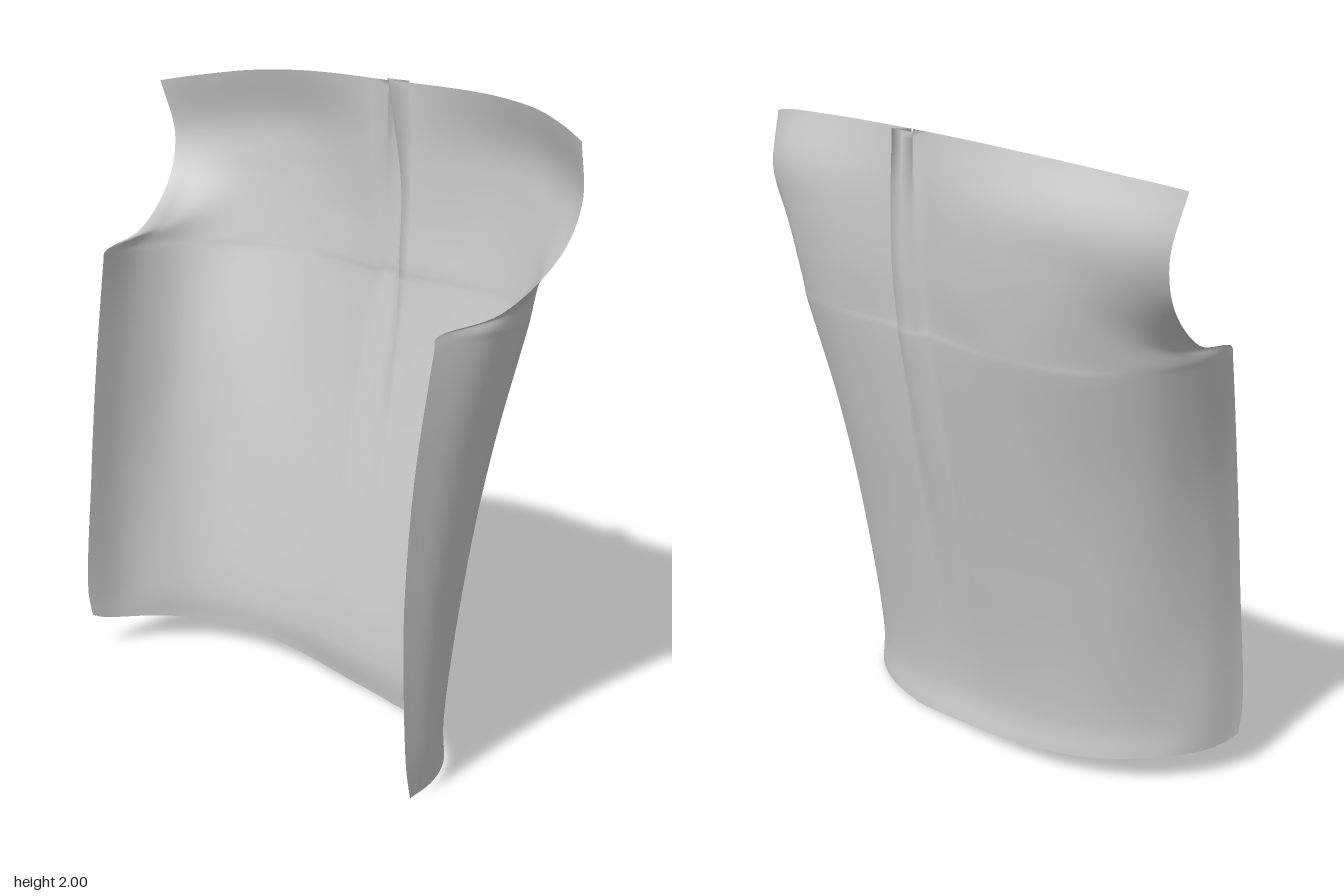
import * as THREE from 'three';

// Lower half-sections, spine to side edge: height, then [x, z] pairs
const LOWER = [
  [0, [0, -.125], [.25, -.12], [.45, -.08], [.6, 0], [.7, .105], [.76, .22], [.79, .345]],
  [.12, [0, -.11], [.25, -.11], [.45, -.075], [.6, .005], [.7, .11], [.765, .22], [.79, .36]],
  [.6, [0, -.175], [.25, -.18], [.45, -.145], [.62, -.06], [.72, .06], [.77, .2], [.775, .345]],
  [1, [0, -.245], [.25, -.26], [.45, -.235], [.63, -.15], [.75, -.02], [.785, .14], [.775, .31]],
  [1.37, [0, -.3], [.25, -.325], [.45, -.322], [.66, -.25], [.795, -.11], [.83, .06], [.79, .255]],
  [1.4, [0, -.3], [.25, -.327], [.45, -.327], [.66, -.255], [.8, -.115], [.835, .055], [.79, .25]],
];
// Upper half-sections ending on the armhole: [x, y, z] points
const UPPER = [
  [[0, 1.55, -.31], [.25, 1.55, -.345], [.45, 1.55, -.347], [.66, 1.53, -.285], [.78, 1.5, -.18], [.835, 1.47, -.07], [.85, 1.45, .05]],
  [[0, 1.7, -.315], [.25, 1.7, -.35], [.45, 1.7, -.36], [.66, 1.67, -.31], [.78, 1.645, -.245], [.86, 1.62, -.18], [.91, 1.6, -.12]],
  [[0, 1.83, -.315], [.25, 1.83, -.345], [.45, 1.83, -.357], [.66, 1.81, -.32], [.79, 1.785, -.265], [.88, 1.765, -.215], [.94, 1.75, -.17]],
  [[0, 2, -.31], [.25, 2, -.315], [.45, 1.995, -.31], [.66, 1.98, -.27], [.8, 1.96, -.215], [.89, 1.945, -.17], [.965, 1.93, -.13]],
];

const vec = (p) => new THREE.Vector3(...p);

// Full cross-section curves, mirrored across the spine
const sections = [
  ...LOWER.map(([y, ...pts]) => pts.map(([x, z]) => [x, y, z])),
  ...UPPER,
].map((half) => {
  const mirrored = half.slice(1).reverse().map(([x, y, z]) => [-x, y, z]);
  return new THREE.CatmullRomCurve3([...mirrored, ...half].map(vec));
});

// Uneven hem: higher on the right, fading out upwards
function shapeHem(p, s) {
  const fade = Math.max(0, 1 - p.y / 0.6);
  const lift = p.x < 0.25
    ? 0.09 * Math.pow(0.25 - p.x, 1.2) + (s < 0 ? 0.03 * Math.pow(-s, 14) : 0)
    : 0.035 * (p.x - 0.25);
  p.y += lift * fade;
  if (s > 0) p.z -= 0.02 * Math.pow(s, 8) * fade;
}

// Box pleat at the spine: k = 0 middle, 1 rear fold, 2 front lip
function shapePleat(p, k, side) {
  const depth = 0.038 * THREE.MathUtils.smoothstep(p.y, 0.4, 1.65);
  const open = 1 - THREE.MathUtils.smoothstep(p.y, 1.6, 2);
  const soft = 1 - THREE.MathUtils.smoothstep(p.y, 0.9, 1.6);
  const lip = 0.004 + 0.046 * open + 0.025 * soft;
  p.x = side * [0, 0.05 - 0.02 * soft, lip][k] + 0.008 * open;
  if (k < 2) p.z -= depth;
}

function panelGeometry() {
  // Columns from right edge to left edge, with the pleat folds in the middle
  const half = [{ k: 1, s: 0 }, { k: 2, s: 0 }];
  for (let i = 0; i <= 36; i++) half.push({ k: -1, s: 0.06 + 0.94 * i / 36 });
  const columns = [
    ...half.slice().reverse().map((c) => ({ ...c, s: -c.s, side: -1 })),
    { k: 0, s: 0, side: 1 },
    ...half.map((c) => ({ ...c, side: 1 })),
  ];
  const rows = 72, positions = [], index = [];
  for (const { k, s, side } of columns) {
    const rise = new THREE.CatmullRomCurve3(sections.map((c) => c.getPoint((s + 1) / 2)));
    for (let j = 0; j <= rows; j++) {
      const p = rise.getPoint(j / rows);
      if (k >= 0) shapePleat(p, k, side);
      shapeHem(p, s);
      positions.push(p.x, p.y, p.z);
    }
  }
  for (let i = 0; i < columns.length - 1; i++) {
    for (let j = 0; j < rows; j++) {
      const a = i * (rows + 1) + j, b = a + rows + 1;
      index.push(a, a + 1, b, b, a + 1, b + 1);
    }
  }
  const g = new THREE.BufferGeometry();
  g.setAttribute('position', new THREE.Float32BufferAttribute(positions, 3));
  g.setIndex(index);
  g.computeVertexNormals();
  return g;
}

export function createModel() {
  const group = new THREE.Group();
  group.name = 'garmentBack';
  const cloth = new THREE.MeshStandardMaterial({ color: 0xcccccc, side: THREE.DoubleSide });
  const panel = new THREE.Mesh(panelGeometry(), cloth);
  panel.name = 'pleatedBackPanel';
  group.add(panel);
  return group;
}
